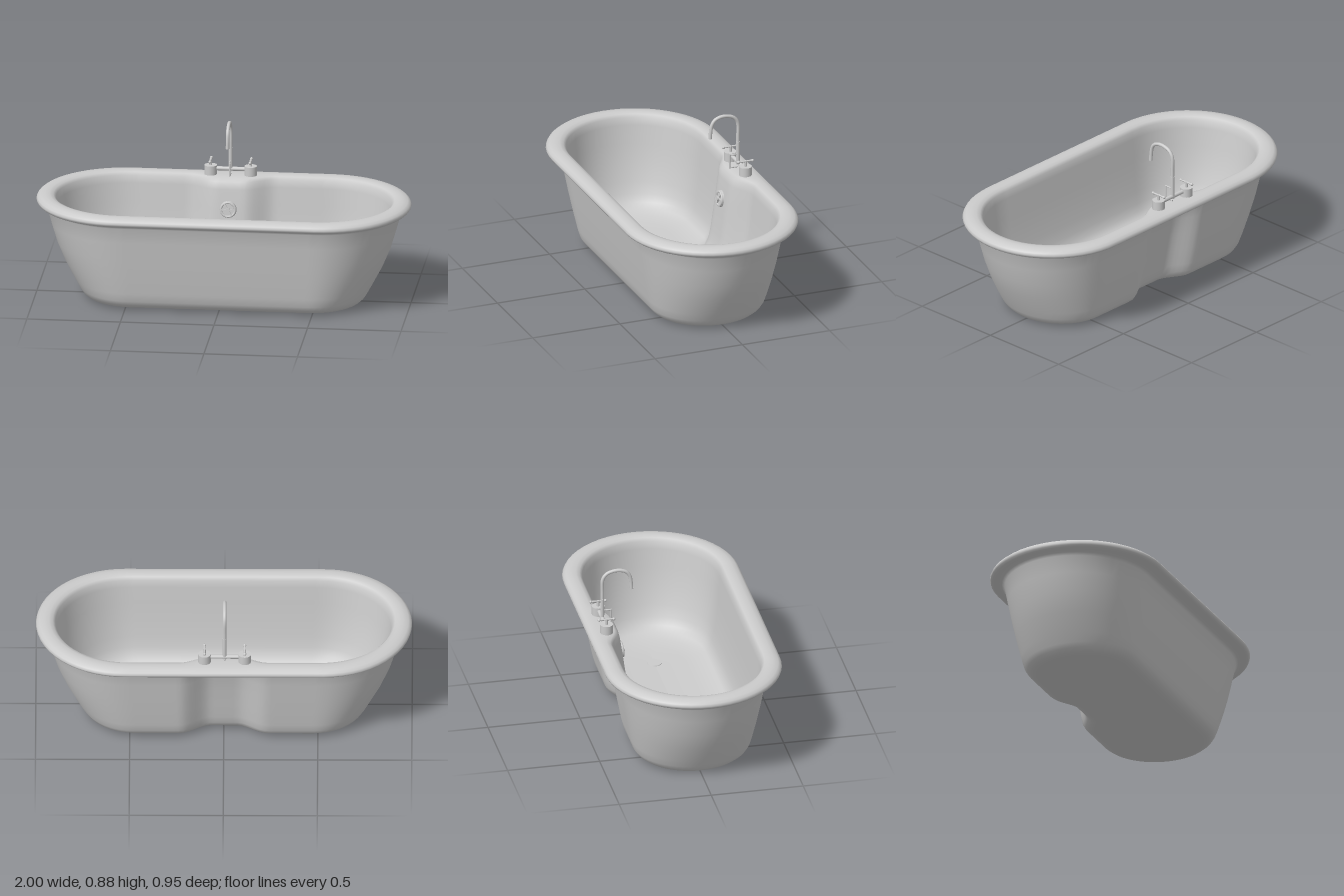
import * as THREE from 'three';

const material = new THREE.MeshStandardMaterial({ color: 0xcccccc, side: THREE.DoubleSide });

function add(parent, name, geometry, x = 0, y = 0, z = 0) {
  const mesh = new THREE.Mesh(geometry, material);
  mesh.name = name;
  mesh.position.set(x, y, z);
  parent.add(mesh);
  return mesh;
}

// Oval outline (straight sides, elliptical ends) with an inward dent in the middle of the back
function outline(hx, hz, dent) {
  const c = 0.53 - 0.2 * (1 - hx), a = hx - c, arc = 28, side = 40, pts = [];
  for (let i = 0; i < arc; i++) {
    const t = -Math.PI / 2 + Math.PI * i / arc;
    pts.push([c + a * Math.cos(t), hz * Math.sin(t)]);
  }
  for (let i = 0; i < side; i++) pts.push([c - 2 * c * i / side, hz]);
  for (let i = 0; i < arc; i++) {
    const t = Math.PI / 2 + Math.PI * i / arc;
    pts.push([-c + a * Math.cos(t), hz * Math.sin(t)]);
  }
  for (let i = 0; i < side; i++) {
    const x = -c + 2 * c * i / side;
    pts.push([x, -hz + dent * (1 - THREE.MathUtils.smoothstep(Math.abs(x), 0.07, 0.235))]);
  }
  return pts;
}

// Skin through horizontal sections: [y, half length, half width, dent]
function tubGeometry(sections) {
  const pos = [], index = [];
  let n = 0;
  for (const [y, hx, hz, dent] of sections) {
    const pts = outline(hx, hz, dent);
    n = pts.length;
    for (const [x, z] of pts) pos.push(x, y, z);
  }
  for (let i = 0; i < sections.length - 1; i++) {
    for (let j = 0; j < n; j++) {
      const a = i * n + j, b = i * n + (j + 1) % n;
      index.push(a, a + n, b, b, a + n, b + n);
    }
  }
  const g = new THREE.BufferGeometry();
  g.setAttribute('position', new THREE.Float32BufferAttribute(pos, 3));
  g.setIndex(index);
  g.computeVertexNormals();
  return g;
}

export function createModel() {
  const model = new THREE.Group();
  model.name = 'bathtub';

  // Shell: underside, outer wall
  const outer = [
    [0, 0.52, 0, 0], [0, 0.66, 0.2, 0.06], [0.003, 0.705, 0.245, 0.07],
    [0.012, 0.735, 0.277, 0.07], [0.03, 0.755, 0.3, 0.074], [0.055, 0.77, 0.315, 0.075],
    [0.1, 0.795, 0.326, 0.075], [0.2, 0.848, 0.345, 0.075], [0.3, 0.89, 0.363, 0.075],
    [0.4, 0.92, 0.38, 0.07], [0.485, 0.943, 0.395, 0.06],
  ];
  // Rolled rim
  const rim = [
    [0.499, 0.955, 0.41, 0.035], [0.507, 0.973, 0.438, 0.005], [0.514, 0.988, 0.46, 0],
    [0.522, 0.996, 0.47, 0], [0.533, 1, 0.474, 0], [0.545, 0.995, 0.468, 0],
    [0.556, 0.981, 0.455, 0], [0.562, 0.955, 0.43, 0.01], [0.561, 0.93, 0.403, 0.035],
    [0.555, 0.91, 0.384, 0.055], [0.54, 0.896, 0.371, 0.062],
  ];
  // Inner wall, dished floor
  const inner = [
    [0.5, 0.888, 0.365, 0.066], [0.4, 0.873, 0.356, 0.072], [0.3, 0.852, 0.345, 0.075],
    [0.2, 0.822, 0.33, 0.075], [0.14, 0.797, 0.317, 0.075], [0.1, 0.773, 0.302, 0.075],
    [0.074, 0.74, 0.28, 0.07], [0.057, 0.69, 0.24, 0.06], [0.047, 0.62, 0.16, 0.04],
    [0.043, 0.52, 0, 0],
  ];
  add(model, 'tubShell', tubGeometry([...outer, ...rim, ...inner]));

  // Floor drain
  add(model, 'drain', new THREE.CylinderGeometry(0.038, 0.04, 0.006, 32), 0.45, 0.044, 0);

  // Overflow fitting on the inner back wall
  const overflow = new THREE.Group();
  overflow.name = 'overflow';
  overflow.position.set(-0.008, 0.395, -0.281);
  overflow.rotation.x = -0.1;
  model.add(overflow);
  add(overflow, 'overflowPlate', new THREE.CylinderGeometry(0.044, 0.046, 0.012, 32)).rotation.x = Math.PI / 2;
  add(overflow, 'overflowRing', new THREE.TorusGeometry(0.038, 0.006, 10, 32), 0, 0, 0.007);
  add(overflow, 'overflowKnob', new THREE.CylinderGeometry(0.012, 0.012, 0.02, 16), 0, 0, 0.012).rotation.x = Math.PI / 2;
  for (let i = 0; i < 6; i++) {
    const a = i * Math.PI / 3;
    add(overflow, 'overflowSpoke', new THREE.BoxGeometry(0.03, 0.007, 0.008),
      0.022 * Math.cos(a), 0.022 * Math.sin(a), 0.009).rotation.z = a;
  }

  // Faucet
  const faucet = new THREE.Group();
  faucet.name = 'faucet';
  faucet.position.set(-0.005, 0.56, -0.38);
  model.add(faucet);
  for (const s of [-1, 1]) {
    const tap = new THREE.Group();
    tap.name = s > 0 ? 'leftTap' : 'rightTap';
    tap.position.x = s * 0.107;
    faucet.add(tap);
    add(tap, 'tapBase', new THREE.CylinderGeometry(0.034, 0.034, 0.05, 32), 0, 0.025, 0);
    add(tap, 'tapStem', new THREE.CylinderGeometry(0.007, 0.008, 0.036, 16), 0, 0.064, 0);
    add(tap, 'tapLever', new THREE.CylinderGeometry(0.005, 0.005, 0.084, 12), 0, 0.078, 0).rotation.x = Math.PI / 2;
    for (const e of [-1, 1]) add(tap, 'leverKnob', new THREE.SphereGeometry(0.008, 14, 10), 0, 0.078, e * 0.04);
  }
  add(faucet, 'crossBar', new THREE.CylinderGeometry(0.011, 0.011, 0.16, 16), 0, 0.032, 0).rotation.z = Math.PI / 2;
  add(faucet, 'spoutColumn', new THREE.CylinderGeometry(0.0105, 0.0105, 0.13, 20), 0, 0.085, 0);

  // Gooseneck spout
  const neck = new THREE.CatmullRomCurve3([
    [0.1, 0], [0.18, 0], [0.25, 0], [0.275, 0.008], [0.296, 0.028], [0.306, 0.055], [0.309, 0.08],
    [0.306, 0.106], [0.294, 0.132], [0.272, 0.148], [0.235, 0.156], [0.193, 0.159],
  ].map(([y, z]) => new THREE.Vector3(0, y, z)));
  add(faucet, 'spout', new THREE.TubeGeometry(neck, 64, 0.0095, 16));
  add(faucet, 'spoutTip', new THREE.CylinderGeometry(0.0095, 0.0095, 0.004, 16), 0, 0.194, 0.159);

  // Diverter rod in front of the column
  add(faucet, 'diverterRod', new THREE.CylinderGeometry(0.004, 0.004, 0.072, 12), 0, 0.042, 0.048);
  for (const y of [0.006, 0.078]) {
    add(faucet, 'diverterArm', new THREE.CylinderGeometry(0.004, 0.004, 0.05, 12), 0, y, 0.025).rotation.x = Math.PI / 2;
  }

  return model;
}
